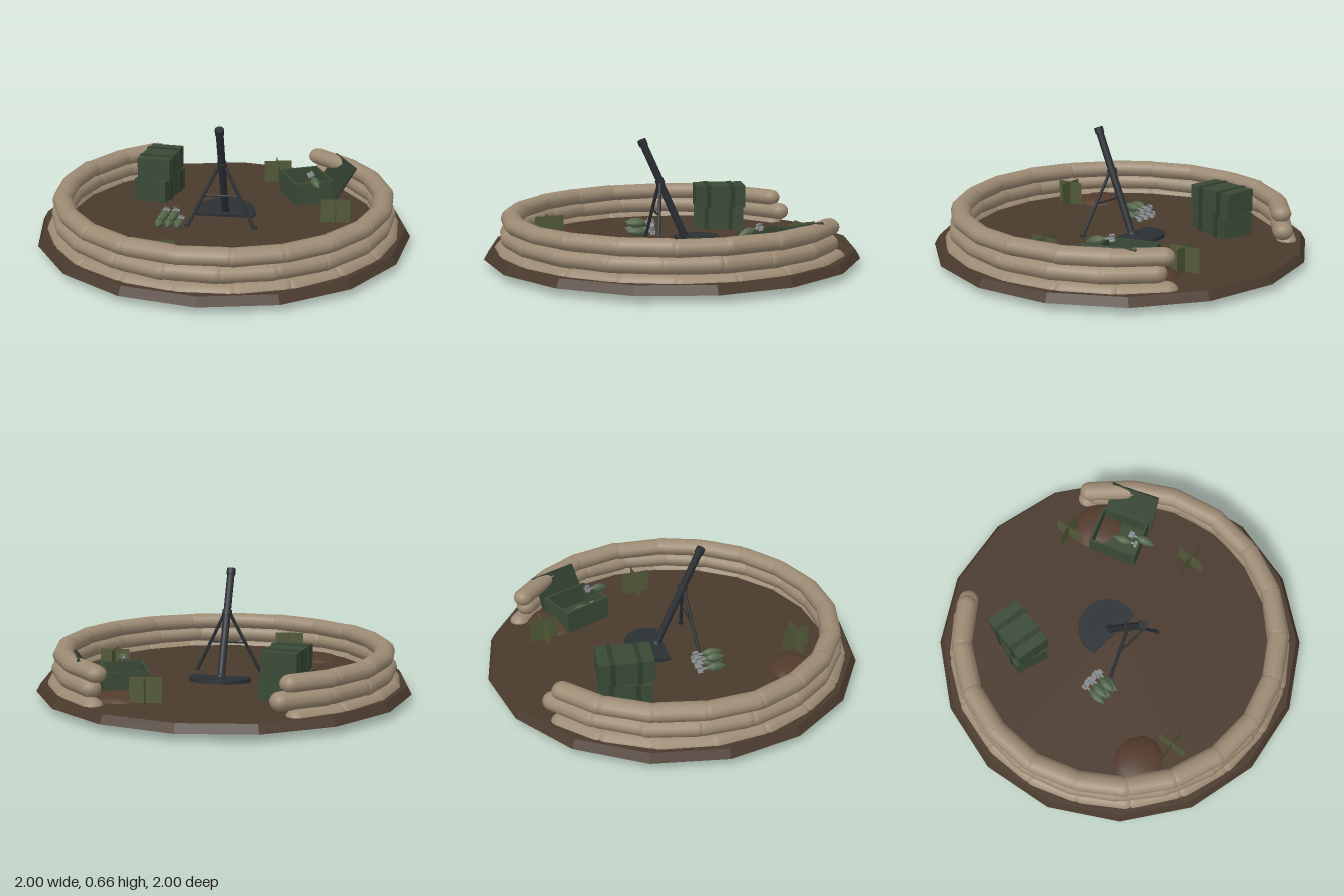
import * as THREE from 'three';

const GROUND = 0.085;
const mat = (color, extra = {}) => new THREE.MeshStandardMaterial({ color, ...extra });
const M = {
  earth: mat(0x4a3a2d, { flatShading: true }),
  mound: mat(0x523b2c),
  bag: mat(0x9c8a73),
  crate: mat(0x3a4a36),
  band: mat(0x2f3d2d),
  metal: mat(0x2b3033),
  shell: mat(0x536549),
  fin: mat(0x858a8c),
  grass: mat(0x525a38, { side: THREE.DoubleSide }),
};

function add(parent, name, geometry, material, pos = [0, 0, 0], rot = [0, 0, 0]) {
  const mesh = new THREE.Mesh(geometry, material);
  mesh.name = name;
  mesh.position.set(...pos);
  mesh.rotation.set(...rot);
  parent.add(mesh);
  return mesh;
}

function group(parent, name, pos = [0, 0, 0], rotY = 0) {
  const g = new THREE.Group();
  g.name = name;
  g.position.set(...pos);
  g.rotation.y = rotY;
  parent.add(g);
  return g;
}

// Cylinder running between two points
function rod(parent, name, a, b, r, material, sides = 8) {
  const from = new THREE.Vector3(...a), to = new THREE.Vector3(...b);
  const dir = to.clone().sub(from);
  const mesh = add(parent, name, new THREE.CylinderGeometry(r, r, dir.length(), sides), material);
  mesh.position.copy(from).add(to).multiplyScalar(0.5);
  mesh.quaternion.setFromUnitVectors(new THREE.Vector3(0, 1, 0), dir.normalize());
  return mesh;
}

function makeRandom(seed) {
  return () => {
    seed = (seed * 16807) % 2147483647;
    return seed / 2147483647 - 0.5;
  };
}

// Three courses of overlapping bags, open at the back
function sandbagWall(parent) {
  const wall = group(parent, 'sandbagWall');
  const rand = makeRandom(77);
  const rows = [
    { y: 0.07, radius: 0.88, r: 0.057, from: -137, to: 140, count: 17 },
    { y: 0.155, radius: 0.855, r: 0.055, from: -141, to: 136, count: 17 },
    { y: 0.234, radius: 0.846, r: 0.054, from: -138, to: 139, count: 17 },
  ];
  rows.forEach(({ y, radius, r, from, to, count }) => {
    for (let i = 0; i < count; i++) {
      const a = THREE.MathUtils.degToRad(from + ((to - from) * i) / (count - 1));
      const bag = group(wall, 'sandbag', [Math.sin(a) * radius, y + rand() * 0.004, Math.cos(a) * radius], a + rand() * 0.06);
      const geo = new THREE.CapsuleGeometry(r, 0.225 + rand() * 0.03, 5, 12);
      geo.rotateZ(Math.PI / 2).scale(1, 0.86 + rand() * 0.05, 1);
      add(bag, 'sandbagBody', geo, M.bag, [0, 0, 0], [0, 0, rand() * 0.03]);
    }
  });
}

// Straps across a box of width w, height h
function straps(parent, w, h, y, spread) {
  for (const s of [-1, 1]) {
    add(parent, 'strap', new THREE.BoxGeometry(w + 0.012, h + 0.008, 0.025), M.band, [0, y, s * spread]);
  }
}

function closedCrate(parent, pos, rotY) {
  const crate = group(parent, 'closedCrate', pos, rotY);
  add(crate, 'crateBox', new THREE.BoxGeometry(0.185, 0.123, 0.28), M.crate, [0, 0.063, 0]);
  straps(crate, 0.185, 0.12, 0.063, 0.068);
}

function openCrate(parent) {
  const crate = group(parent, 'openCrate', [0.42, GROUND, -0.43], 0.42);
  const w = 0.225, h = 0.125, d = 0.275, t = 0.014;
  add(crate, 'crateFloor', new THREE.BoxGeometry(w, t, d), M.crate, [0, t / 2, 0]);
  for (const s of [-1, 1]) {
    add(crate, 'crateSide', new THREE.BoxGeometry(t, h, d), M.crate, [s * (w - t) / 2, h / 2, 0]);
    add(crate, 'crateEnd', new THREE.BoxGeometry(w - 2 * t, h, t), M.crate, [0, h / 2, s * (d - t) / 2]);
  }
  // Lid leaning outward on the sandbags
  const lid = group(crate, 'crateLid', [0.178, 0.1, 0.01]);
  lid.rotation.z = 0.98;
  add(lid, 'lidPanel', new THREE.BoxGeometry(0.22, 0.016, 0.275), M.band);
}

// Finned round lying along +z
function mortarShell(parent, pos, rotY, pitch = 0) {
  const shell = group(parent, 'mortarShell', pos, rotY);
  const tilt = group(shell, 'shellParts');
  tilt.rotation.x = pitch;
  const profile = [[0, -0.03], [0.009, -0.028], [0.022, 0], [0.025, 0.022], [0.019, 0.048], [0.009, 0.066], [0.006, 0.076], [0, 0.077]]
    .map(([x, y]) => new THREE.Vector2(x, y));
  add(tilt, 'shellBody', new THREE.LatheGeometry(profile, 10).rotateX(Math.PI / 2), M.shell);
  add(tilt, 'shellTail', new THREE.CylinderGeometry(0.007, 0.007, 0.055, 8).rotateX(Math.PI / 2), M.fin, [0, 0, -0.05]);
  for (let i = 0; i < 3; i++) {
    add(tilt, 'shellFin', new THREE.BoxGeometry(0.04, 0.002, 0.028), M.fin, [0, 0, -0.063], [0, 0, (i * Math.PI) / 3]);
  }
}

function mortar(parent) {
  const m = group(parent, 'mortar');
  // Base plate: disc cut straight at the front
  const outline = new THREE.Shape();
  outline.absarc(0, 0, 0.165, -0.3, Math.PI + 0.3, false);
  outline.closePath();
  const plate = new THREE.ExtrudeGeometry(outline, { depth: 0.02, bevelEnabled: false, curveSegments: 10 });
  plate.rotateX(-Math.PI / 2);
  add(m, 'basePlate', plate, M.metal, [0, 0.083, -0.095], [0.1, 0, 0]);

  // Barrel with collars along its axis
  const base = new THREE.Vector3(0, 0.09, -0.085), muzzle = new THREE.Vector3(0, 0.643, 0.165);
  const at = (t) => base.clone().lerp(muzzle, t).toArray();
  rod(m, 'barrel', at(0), at(1), 0.02, M.metal, 14);
  rod(m, 'muzzleRing', at(0.95), at(1.005), 0.024, M.metal, 14);
  rod(m, 'bipodCollar', at(0.575), at(0.62), 0.026, M.metal, 14);
  add(m, 'breechBall', new THREE.SphereGeometry(0.028, 12, 8), M.metal, at(0.01));

  // Bipod
  for (const s of [-1, 1]) {
    rod(m, 'bipodLeg', [s * 0.008, 0.43, 0.067], [s * 0.18, GROUND, 0.112], 0.009, M.metal);
    add(m, 'bipodFoot', new THREE.CylinderGeometry(0.013, 0.015, 0.012, 8), M.metal, [s * 0.18, GROUND + 0.005, 0.112]);
  }
  rod(m, 'bipodBrace', [-0.092, 0.255, 0.09], [0.092, 0.255, 0.09], 0.006, M.metal);
}

export function createModel() {
  const model = new THREE.Group();
  model.name = 'mortarPit';

  // Earth floor
  add(model, 'earthFloor', new THREE.CylinderGeometry(0.975, 1, 0.044, 16), M.earth, [0, 0.063, 0]);
  const mounds = [[0.41, 0.062, -0.57, 0.17, 0.062], [-0.41, 0.07, 0.55, 0.15, 0.05]];
  for (const [x, y, z, r, h] of mounds) {
    add(model, 'dirtMound', new THREE.SphereGeometry(1, 10, 8).scale(r, h, r * 0.9), M.mound, [x, y, z]);
  }

  sandbagWall(model);
  mortar(model);

  // Stacked crates
  closedCrate(model, [-0.41, GROUND, -0.365], -0.25);
  closedCrate(model, [-0.405, GROUND + 0.125, -0.365], -0.12);
  openCrate(model);

  // Pyramid of rounds, plus two by the open crate
  for (let i = 0; i < 3; i++) mortarShell(model, [-0.325 + i * 0.051, GROUND + 0.025, 0.125], 0);
  for (let i = 0; i < 2; i++) mortarShell(model, [-0.2995 + i * 0.051, GROUND + 0.067, 0.125], 0);
  mortarShell(model, [0.435, GROUND + 0.042, -0.385], Math.PI + 0.4);
  mortarShell(model, [0.47, GROUND + 0.14, -0.3], 0.4, 0.25);

  // Grass tufts of two crossed cards
  for (const [x, z, turn] of [[0.24, -0.65, 0.2], [0.6, -0.04, 0.1], [-0.24, 0.63, 0.15]]) {
    const tuft = group(model, 'grassTuft', [x, GROUND + 0.065, z], turn);
    for (const a of [0, Math.PI / 2]) {
      add(tuft, 'grassCard', new THREE.PlaneGeometry(0.16, 0.13), M.grass, [0, 0, 0], [0, a, 0]);
    }
  }
  return model;
}
